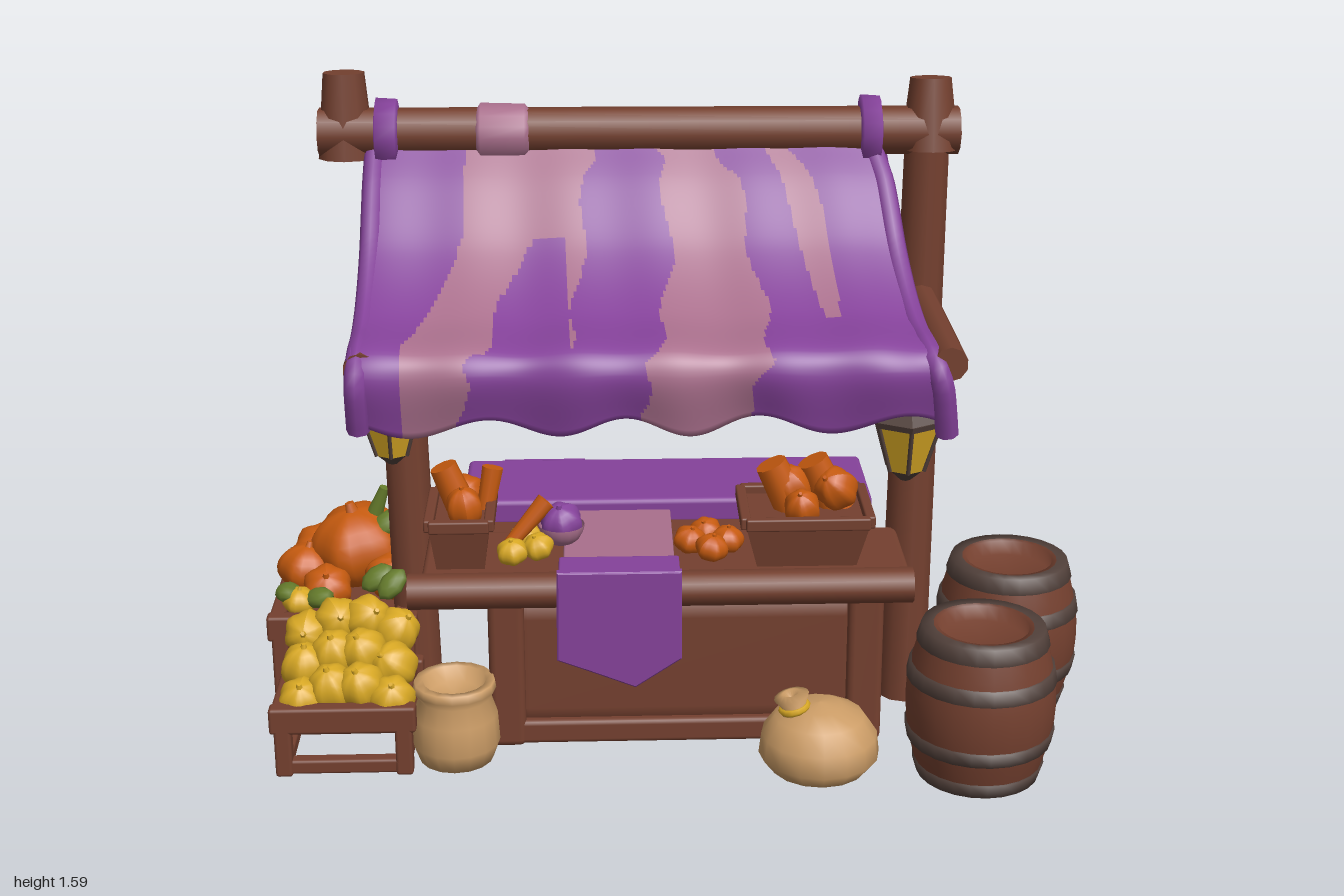
import * as THREE from 'three';
import { RoundedBoxGeometry } from 'three/addons/geometries/RoundedBoxGeometry.js';

const mat = (name, color, side = THREE.FrontSide) => new THREE.MeshStandardMaterial({ name, color, side });
const V = (x, y, z) => new THREE.Vector3(x, y, z);

export function createModel() {
  const wood = mat('wood', 0x74402f);
  const iron = mat('darkIron', 0x51403a);
  const purple = mat('purpleCloth', 0x85429a, THREE.DoubleSide);
  const pink = mat('pinkCloth', 0xa96f8c, THREE.DoubleSide);
  const orange = mat('pumpkinOrange', 0xc55a0f);
  const yellow = mat('squashYellow', 0xd8a824);
  const green = mat('leafGreen', 0x667c2c);
  const tan = mat('sackcloth', 0xcb9c66);
  const root = new THREE.Group();
  root.name = 'marketStall';

  // helpers
  const add = (name, geo, m, p = [0, 0, 0], r = [0, 0, 0], parent = root) => {
    const mesh = new THREE.Mesh(geo, m);
    mesh.name = name;
    mesh.position.set(...p);
    mesh.rotation.set(...r);
    parent.add(mesh);
    return mesh;
  };
  const box = (name, m, x0, x1, y0, y1, z0, z1, parent = root) => add(name,
    new RoundedBoxGeometry(x1 - x0, y1 - y0, z1 - z0, 2, Math.min(x1 - x0, y1 - y0, z1 - z0) * 0.2), m,
    [(x0 + x1) / 2, (y0 + y1) / 2, (z0 + z1) / 2], [0, 0, 0], parent);
  const log = (name, a, b, r, r2 = r, m = wood, parent = root) => {
    const A = V(...a), B = V(...b), d = B.clone().sub(A);
    const mesh = add(name, new THREE.CylinderGeometry(r2, r, d.length(), 10), m, [0, 0, 0], [0, 0, 0], parent);
    mesh.position.copy(A).add(B).multiplyScalar(0.5);
    mesh.quaternion.setFromUnitVectors(V(0, 1, 0), d.normalize());
    return mesh;
  };
  const lathe = (pts, n = 16) => new THREE.LatheGeometry(pts.map(p => new THREE.Vector2(...p)), n);
  const ribbed = (r, ribs, squash) => {
    const g = new THREE.SphereGeometry(r, 24, 12), p = g.attributes.position;
    for (let i = 0; i < p.count; i++) {
      const k = 1 + 0.07 * Math.cos(ribs * Math.atan2(p.getZ(i), p.getX(i)));
      p.setXYZ(i, p.getX(i) * k, p.getY(i) * squash, p.getZ(i) * k);
    }
    g.computeVertexNormals();
    return g;
  };
  const fruit = (name, m, x, y, z, r, squash = 0.85, tilt = 0.3) => {
    const f = add(name, ribbed(r, 6, squash), m, [x, y, z], [tilt, x * 9, tilt * Math.sin(z * 30)]);
    add('stem', new THREE.CylinderGeometry(r * 0.1, r * 0.18, r * 0.3, 6), m, [0, r * squash, 0], [0, 0, 0.2], f);
  };

  // posts, ridge beam, side arms and braces
  log('leftPost', [-0.635, 0.02, -0.01], [-0.66, 1.45, -0.025], 0.056, 0.05);
  log('leftPostCap', [-0.755, 1.4, -0.025], [-0.755, 1.595, -0.035], 0.066, 0.048);
  log('rightPost', [0.57, 0.02, -0.008], [0.585, 1.45, -0.025], 0.06, 0.052);
  log('rightPostCap', [0.59, 1.41, -0.02], [0.59, 1.575, -0.035], 0.068, 0.048);
  log('ridgeBeam', [-0.815, 1.46, -0.02], [0.655, 1.455, -0.02], 0.056);
  for (const [back, front, px] of [[-0.685, -0.685, -0.65], [0.585, 0.57, 0.575]]) {
    log('sideArm', [front, 1.065, 0.53], [back, 1.052, -0.56], 0.038);
    log('brace', [front, 1.03, 0.26], [px, 0.85, 0.02], 0.027);
  }

  // canopy: a thick sheet swept along x, striped on its outer face only
  const stripe = (u, v) => {
    const x = -0.7 + (1.17 + 0.115 * v) * u;
    const inside = (a, b) => x > a && x < b;
    const low = Math.max(0, v - 0.3), wob = 0.012 * Math.sin(v * 23);
    const notch = v > 0.3 && x > -0.32 - 0.17 * Math.sqrt(low) + wob && x < -0.255 + 0.05 * low;
    return (inside(-0.48 - 0.36 * low + 0.36 * Math.max(0, v - 0.62), -0.19 - 0.08 * v + wob - (v > 0.66 ? 0.2 : 0)) && !notch)
      || inside(-0.05 + 0.03 * Math.sin(v * 5) + wob, 0.09 + 0.1 * Math.sin(v * 2.6) - wob)
      || (v < 0.52 && inside(0.2 + 0.23 * v, 0.25 + 0.2 * v + 0.03 * Math.sin(v * 6.2)));
  };
  const canopy = (name, profile, left, right, painted) => {
    const curve = new THREE.CatmullRomCurve3(profile.map(([z, y]) => V(0, y, z)));
    const nu = 180, nv = 60, t = 0.026, dir = Math.sign(profile[4][0]), ring = 2 * (nv + 1);
    const pos = [], plain = [], pinkFaces = [];
    const point = (u, v, inner) => {
      const p = curve.getPoint(v), slope = curve.getTangent(v);
      const fold = Math.sin(u * 36 + 0.6) * 0.5 + Math.sin(u * 17) * 0.5;
      const hang = Math.max(0, (v - 0.72) / 0.28);
      const off = (inner ? t : 0) - 0.009 * fold * (0.3 + v);
      const x = THREE.MathUtils.lerp(left[0] + (left[1] - left[0]) * v, right[0] + (right[1] - right[0]) * v, u);
      return V(x, p.y + slope.z * dir * -off + hang * hang * 0.02 * Math.sin(u * 27 + 2), p.z + slope.y * dir * off);
    };
    for (let i = 0; i <= nu; i++) for (let k = 0; k < ring; k++) {
      const inner = k > nv, j = inner ? ring - 1 - k : k;
      pos.push(...point(i / nu, j / nv, inner).toArray());
    }
    for (let i = 0; i < nu; i++) for (let k = 0; k < ring; k++) {
      const a = i * ring + k, b = i * ring + (k + 1) % ring, c = b + ring, d = a + ring;
      const list = painted && k < nv && stripe((i + 0.5) / nu, (k + 0.5) / nv) ? pinkFaces : plain;
      list.push(...(dir > 0 ? [a, b, c, a, c, d] : [a, c, b, a, d, c]));
    }
    const g = new THREE.BufferGeometry();
    g.setAttribute('position', new THREE.Float32BufferAttribute(pos, 3));
    g.setIndex([...plain, ...pinkFaces]);
    g.addGroup(0, plain.length, 0);
    g.addGroup(plain.length, pinkFaces.length, 1);
    g.computeVertexNormals();
    add(name, g, [purple, pink]);
    // rolled side hems
    for (const u of [0, 1]) {
      const pts = Array.from({ length: 14 }, (_, i) => point(u, i / 13, false).add(V(0.014 - 0.028 * u, -0.018, -0.006 * dir)));
      add('sideHem', new THREE.TubeGeometry(new THREE.CatmullRomCurve3(pts), 36, 0.026, 8), purple);
    }
  };
  canopy('frontCanopy', [[0.02, 1.43], [0.08, 1.37], [0.2, 1.23], [0.36, 1.13], [0.52, 1.095], [0.548, 1.05], [0.525, 0.93]],
    [-0.7, -0.71], [0.47, 0.585], true);
  canopy('backCanopy', [[-0.06, 1.43], [-0.12, 1.37], [-0.24, 1.235], [-0.4, 1.145], [-0.54, 1.1], [-0.565, 1.05], [-0.545, 0.93]],
    [-0.66, -0.73], [0.48, 0.585], false);
  // cloth wrapped round the beam
  for (const [x, w, r, m] of [[-0.66, 0.055, 0.083, purple], [0.45, 0.05, 0.083, purple], [-0.395, 0.12, 0.07, pink]])
    add('beamWrap', lathe([[0.055, -w / 2], [r - 0.003, -w / 2.4], [r, w / 2.4], [0.055, w / 2]]), m, [x, 1.456, -0.02], [0, 0, Math.PI / 2]);

  // counter
  box('counterBody', wood, -0.435, 0.47, 0.035, 0.42, -0.325, 0.235);
  for (const x of [-0.45, 0.4]) for (const z of [-0.345, 0.17]) box('counterCorner', wood, x, x + 0.085, 0.02, 0.43, z, z + 0.085);
  for (const z of [-0.34, 0.19]) box('baseRail', wood, -0.44, 0.48, 0.025, 0.085, z, z + 0.06);
  box('counterTop', wood, -0.6, 0.54, 0.41, 0.475, 0.0, 0.31);
  box('rearTop', wood, -0.47, 0.48, 0.4, 0.47, -0.34, 0.02);
  log('frontRail', [-0.63, 0.442, 0.28], [0.545, 0.442, 0.28], 0.042);
  box('rearCloth', purple, -0.52, 0.49, 0.46, 0.525, -0.36, -0.068);

  // table runner with hanging flaps
  box('runnerTop', pink, -0.27, -0.01, 0.475, 0.498, -0.08, 0.3);
  const flap = (w, drop, tip) => {
    const s = new THREE.Shape([[-w, 0], [-w * 1.02, -drop], [-w * 0.5, -drop - tip * 0.4], [0.25 * w, -drop - tip], [w, -drop], [w, 0]]
      .map(p => new THREE.Vector2(...p)));
    return new THREE.ExtrudeGeometry(s, { depth: 0.016, bevelSize: 0.004, bevelThickness: 0.004, bevelSegments: 1 });
  };
  add('frontFlap', flap(0.14, 0.215, 0.07), purple, [-0.14, 0.505, 0.32]);
  box('flapFold', purple, -0.28, 0, 0.485, 0.508, 0.24, 0.34);
  add('backFlap', flap(0.1, 0.275, -0.03), purple, [-0.325, 0.515, -0.374]);

  // barrels
  const barrelR = y => 0.138 + 0.036 * Math.sin(Math.PI * y / 0.37);
  for (const [x, z] of [[0.823, 0.01], [0.695, 0.395]]) {
    const b = new THREE.Group();
    b.name = 'barrel';
    b.position.set(x, 0.02, z);
    root.add(b);
    const side = Array.from({ length: 11 }, (_, i) => [barrelR(i * 0.037), i * 0.037]);
    add('staves', lathe([[0, 0], ...side, [0.105, 0.37], [0.1, 0.335], [0, 0.335]], 24), wood, [0, 0, 0], [0, 0, 0], b);
    for (const [y0, y1] of [[0, 0.035], [0.09, 0.125], [0.245, 0.28], [0.335, 0.372]])
      add('hoop', lathe([[barrelR(y0) - 0.01, y0], [barrelR(y0) + 0.005, y0], [barrelR(y1) + 0.005, y1], [barrelR(y1) - 0.022, y1]], 24), iron, [0, 0, 0], [0, 0, 0], b);
  }

  // lanterns hanging from the arms
  const lantern = (x, y, z, s, armX) => {
    const g = new THREE.Group();
    g.name = 'lantern';
    g.position.set(x, y, z);
    g.scale.setScalar(s);
    root.add(g);
    const hex = (name, m, r1, r0, h, yy) => add(name, new THREE.CylinderGeometry(r1, r0, h, 6).toNonIndexed(), m, [0, yy, 0], [0, 0, 0], g).geometry.computeVertexNormals();
    hex('tip', iron, 0.042, 0.012, 0.028, 0.014);
    hex('glass', yellow, 0.078, 0.043, 0.112, 0.083);
    hex('rim', iron, 0.09, 0.085, 0.014, 0.145);
    hex('roof', iron, 0.025, 0.088, 0.07, 0.185);
    for (let i = 0; i < 6; i++) {
      const c = Math.sin(i * Math.PI / 3), d = Math.cos(i * Math.PI / 3);
      log('bar', [c * 0.044, 0.028, d * 0.044], [c * 0.078, 0.14, d * 0.078], 0.005, 0.005, iron, g);
    }
    add('ring', new THREE.TorusGeometry(0.02, 0.006, 6, 12), iron, [0, 0.235, 0], [0, 0, 0], g);
    add('link', new THREE.TorusGeometry(0.02, 0.006, 6, 12), iron, [0, 0.268, 0], [0, Math.PI / 2, 0], g);
    log('hook', [x, y + 0.28 * s, z], [armX, 1.06, z], 0.008, 0.008, iron);
  };
  lantern(0.505, 0.74, 0.365, 1, 0.56);
  lantern(-0.64, 0.8, 0.38, 0.88, -0.67);

  // sacks
  add('openSack', lathe([[0, 0], [0.088, 0.005], [0.104, 0.05], [0.1, 0.12], [0.085, 0.165], [0.098, 0.185], [0.095, 0.205], [0.075, 0.205], [0.06, 0.17], [0, 0.165]]), tan, [-0.53, 0.01, 0.28]);
  add('tiedSack', lathe([[0, 0], [0.115, 0.005], [0.142, 0.04], [0.136, 0.09], [0.105, 0.135], [0.055, 0.16], [0, 0.168]]), tan, [0.325, 0.015, 0.36]);
  add('sackNeck', lathe([[0.06, -0.05], [0.026, 0], [0.042, 0.03], [0.02, 0.038], [0, 0.02]]), tan, [0.265, 0.175, 0.37], [0, 0, 0.25]);
  add('sackTie', new THREE.TorusGeometry(0.03, 0.009, 6, 14), yellow, [0.265, 0.175, 0.37], [Math.PI / 2, 0.25, 0]);

  // display stands: legs, rails, cross braces and a slatted tray
  const stand = (name, x0, x1, z0, z1, h) => {
    const g = new THREE.Group();
    g.name = name;
    root.add(g);
    for (const x of [x0, x1 - 0.04]) {
      for (const z of [z0, z1 - 0.04]) box('leg', wood, x, x + 0.04, 0.02, h, z, z + 0.04, g);
      box('sideRail', wood, x - 0.005, x + 0.035, h - 0.065, h, z0, z1, g);
      box('footRail', wood, x, x + 0.035, 0.025, 0.06, z0, z1, g);
      log('crossBrace', [x + 0.02, 0.05, z0 + 0.03], [x + 0.02, h - 0.05, z1 - 0.03], 0.014, 0.014, wood, g);
    }
    for (const z of [z0, z1 - 0.04]) {
      box('endRail', wood, x0 - 0.01, x1 + 0.01, h - 0.065, h, z, z + 0.04, g);
      box('endFootRail', wood, x0, x1, 0.025, 0.06, z, z + 0.035, g);
    }
    log('backBrace', [x0 + 0.03, 0.05, z0 + 0.02], [x1 - 0.03, h - 0.05, z0 + 0.02], 0.014, 0.014, wood, g);
    box('tray', wood, x0 + 0.01, x1 - 0.01, h - 0.07, h - 0.045, z0 + 0.01, z1 - 0.01, g);
  };
  stand('rearStand', -0.985, -0.64, -0.36, 0.085, 0.29);
  stand('frontStand', -0.945, -0.625, 0.095, 0.385, 0.195);

  // produce on the stands
  for (const [x, y, z, r] of [[-0.79, 0.37, -0.18, 0.12], [-0.9, 0.32, -0.27, 0.07], [-0.92, 0.32, -0.15, 0.072], [-0.77, 0.33, -0.3, 0.07], [-0.7, 0.33, -0.07, 0.065], [-0.86, 0.31, -0.05, 0.06]])
    fruit('pumpkin', orange, x, y, z, r);
  for (let i = 0; i < 4; i++) for (let j = 0; j < 3; j++)
    fruit('yellowSquash', yellow, -0.885 + i * 0.07, 0.225 + (2 - j) * 0.05 - 0.028 * Math.abs(i - 1.6), 0.15 + j * 0.08 + 0.012 * Math.sin(i * 5), 0.055, 1.1, 0.6);
  fruit('yellowSquash', yellow, -0.92, 0.305, 0.02, 0.04);
  for (const [x, y, z] of [[-0.95, 0.32, 0.0], [-0.87, 0.32, 0.035], [-0.69, 0.36, 0.05], [-0.72, 0.44, -0.14], [-0.73, 0.36, 0.01], [-0.67, 0.34, -0.31]])
    add('leaf', new THREE.SphereGeometry(0.046, 8, 6), green, [x, y, z], [0.4, x * 8, 0.5]).scale.set(1, 0.5, 0.7);
  log('curledStem', [-0.75, 0.45, -0.17], [-0.72, 0.53, -0.16], 0.022, 0.012, green);

  // flared boxes on the counter, open on top
  const tub = (x, z, w, d, h) => {
    const g = new THREE.CylinderGeometry(0.7071, 0.57, 1, 4, 1).toNonIndexed();
    g.rotateY(Math.PI / 4);
    g.scale(w, h, d);
    g.computeVertexNormals();
    add('flaredBox', g, wood, [x, 0.475 + h / 2, z]);
    for (const s of [-1, 1]) {
      box('boxRim', wood, x - w / 2, x + w / 2, 0.465 + h, 0.495 + h, z + s * d / 2 - 0.012, z + s * d / 2 + 0.012);
      box('boxRim', wood, x + s * w / 2 - 0.012, x + s * w / 2 + 0.012, 0.465 + h, 0.495 + h, z - d / 2, z + d / 2);
    }
  };
  tub(0.3, 0.15, 0.29, 0.22, 0.11);
  tub(-0.51, 0.14, 0.14, 0.22, 0.11);
  // chunky roots leaning in the boxes
  for (const [x, y, z, r] of [[0.27, 0.63, 0.13, 0.05], [0.375, 0.63, 0.14, 0.05], [0.29, 0.605, 0.2, 0.042], [0.32, 0.61, 0.08, 0.045], [-0.5, 0.61, 0.18, 0.042], [-0.5, 0.61, 0.08, 0.042]])
    fruit('smallGourd', orange, x, y, z, r, 1.2, 0.6);
  for (const [x, z] of [[0.03, 0.13], [0.08, 0.18], [0.07, 0.08], [0.12, 0.13]]) fruit('looseGourd', orange, x, 0.5, z, 0.038);
  for (const [x, dx, z, r] of [[0.28, -0.06, 0.14, 0.045], [0.38, -0.06, 0.12, 0.045], [-0.5, -0.05, 0.13, 0.038]])
    log('chunkyRoot', [x, 0.57, z], [x + dx, 0.695, z], r, r * 0.85, orange);
  log('carrot', [-0.46, 0.55, 0.12], [-0.435, 0.68, 0.1], 0.02, 0.026, orange);
  log('carrot', [-0.4, 0.5, 0.15], [-0.31, 0.6, 0.12], 0.016, 0.024, orange);
  for (const [x, z] of [[-0.39, 0.2], [-0.33, 0.17], [-0.36, 0.1]]) fruit('looseSquash', yellow, x, 0.505, z, 0.036);
  fruit('turnip', purple, -0.275, 0.545, 0.12, 0.05, 0.95);
  add('turnipBand', new THREE.SphereGeometry(0.055, 16, 8, 0, Math.PI * 2, 1.6, 1), pink, [-0.275, 0.543, 0.12]);
  return root;
}
